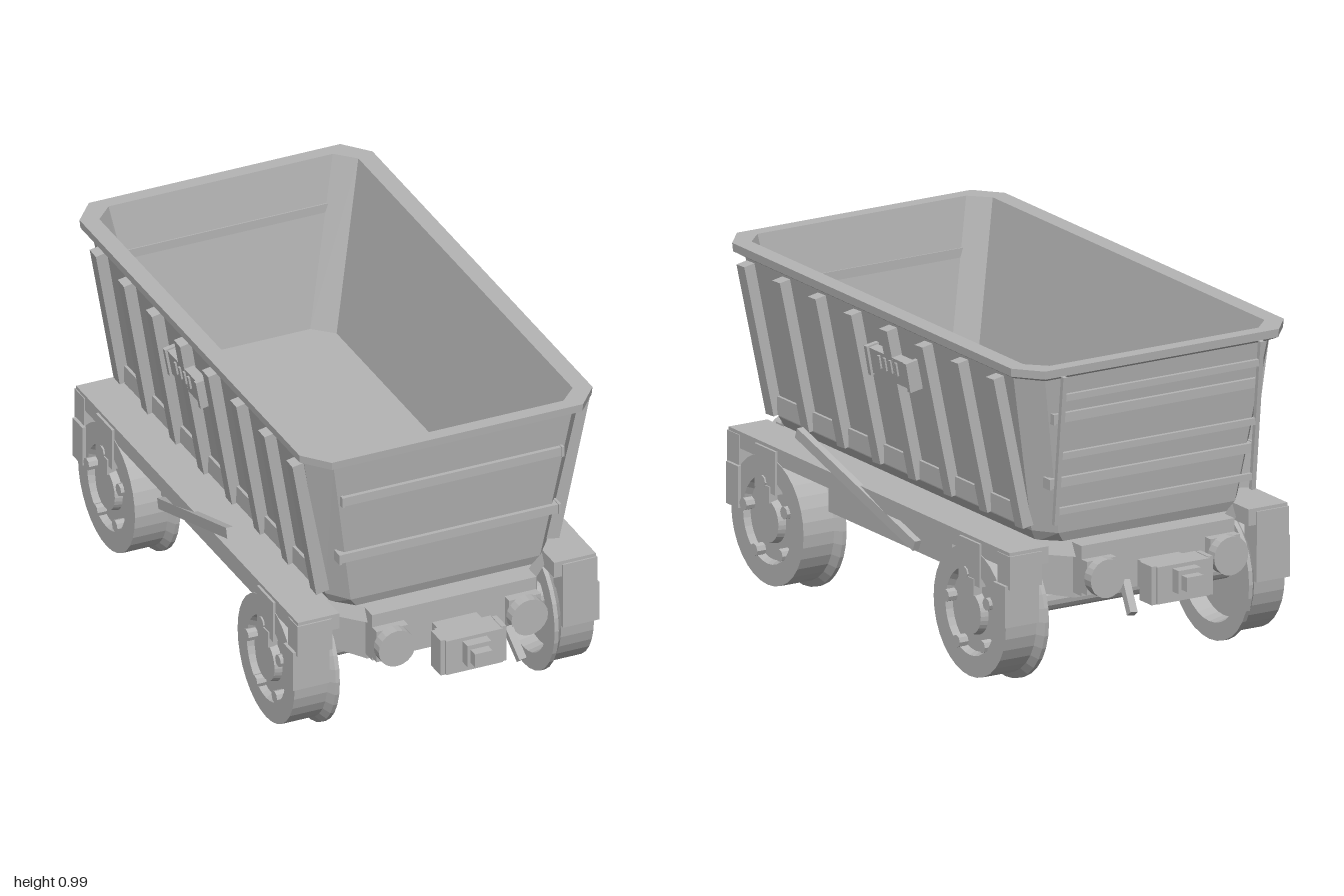
import * as THREE from 'three';

const steel = new THREE.MeshStandardMaterial({ color: 0xb4b4b4, flatShading: true });
steel.name = 'steel grey';

export function createModel() {
  const model = new THREE.Group();
  model.name = 'mineWagon';

  const add = (name, geometry, x = 0, y = 0, z = 0, parent = model) => {
    const mesh = new THREE.Mesh(geometry, steel);
    mesh.name = name;
    mesh.position.set(x, y, z);
    parent.add(mesh);
    return mesh;
  };
  // box given by its low and high limits
  const block = (name, x0, x1, y0, y1, z0, z1) =>
    add(name, new THREE.BoxGeometry(Math.abs(x1 - x0), y1 - y0, Math.abs(z1 - z0)),
      (x0 + x1) / 2, (y0 + y1) / 2, (z0 + z1) / 2);
  // bar between two points; "thick" is measured along the up hint
  const beam = (name, a, b, wide, thick, up) => {
    const p = new THREE.Vector3(...a), q = new THREE.Vector3(...b);
    const mesh = add(name, new THREE.BoxGeometry(wide, thick, p.distanceTo(q)));
    mesh.position.copy(p).add(q).multiplyScalar(0.5);
    mesh.up.set(...up);
    mesh.lookAt(q);
  };
  // chamfered rectangles [y, halfX, halfZ, chamferX, chamferZ] joined in order, with end caps
  const loft = (sections) => {
    const rings = sections.map(([y, hx, hz, cx, cz]) => [
      [cx - hx, y, hz], [hx - cx, y, hz], [hx, y, hz - cz], [hx, y, cz - hz],
      [hx - cx, y, -hz], [cx - hx, y, -hz], [-hx, y, cz - hz], [-hx, y, hz - cz]]);
    const pos = [];
    const tri = (a, b, c) => pos.push(...a, ...b, ...c);
    for (let r = 0; r + 1 < rings.length; r++) {
      for (let i = 0; i < 8; i++) {
        const j = (i + 1) % 8, lo = rings[r], hi = rings[r + 1];
        tri(lo[i], lo[j], hi[j]);
        tri(lo[i], hi[j], hi[i]);
      }
    }
    const first = rings[0], last = rings[rings.length - 1];
    for (let i = 1; i < 7; i++) {
      tri(first[0], first[i + 1], first[i]);
      tri(last[0], last[i], last[i + 1]);
    }
    const g = new THREE.BufferGeometry();
    g.setAttribute('position', new THREE.Float32BufferAttribute(pos, 3));
    g.computeVertexNormals();
    return g;
  };

  // open hopper: outside up to the rim, then down the inside to the floor
  add('hopper', loft([
    [0.43, 0.33, 0.725, 0.06, 0.06], [0.47, 0.35, 0.74, 0.05, 0.065],
    [0.95, 0.437, 0.79, 0.06, 0.075], [0.965, 0.462, 0.82, 0.066, 0.078],
    [0.99, 0.464, 0.822, 0.066, 0.078], [0.99, 0.41, 0.78, 0.055, 0.055],
    [0.47, 0.31, 0.713, 0.058, 0.055]]));

  // chassis
  add('chassisBody', loft([[0.275, 0.342, 0.76, 0.085, 0.13], [0.405, 0.342, 0.76, 0.085, 0.13]]));
  add('deck', loft([[0.4, 0.38, 0.77, 0.12, 0.13], [0.44, 0.37, 0.76, 0.12, 0.13]]));

  for (const s of [1, -1]) {
    const side = s > 0 ? 'left' : 'right';

    // side wall ribs, foot rail and plate
    for (let i = 0; i < 8; i++) {
      const z = 0.69 - i * 0.19;
      beam(side + 'Rib', [s * 0.362, 0.485, z - 0.022], [s * 0.448, 0.94, z], 0.042, 0.046, [s, 0, 0]);
    }
    block(side + 'FootRail', s * 0.34, s * 0.372, 0.485, 0.54, -0.68, 0.68);
    const plate = new THREE.Group();
    plate.name = side + 'Plate';
    plate.position.set(s * 0.433, 0.82, -0.07);
    plate.rotation.z = -s * 0.18;
    model.add(plate);
    add('plateBack', new THREE.BoxGeometry(0.03, 0.08, 0.22), 0, 0, 0, plate);
    for (const e of [1, -1]) add('plateEnd', new THREE.BoxGeometry(0.046, 0.09, 0.015), 0, 0, e * 0.105, plate);
    for (let i = 0; i < 4; i++) add('plateSlat', new THREE.BoxGeometry(0.042, 0.04, 0.01), 0, 0.01, -0.045 + i * 0.03, plate);

    // sill over the wheels and long brake lever
    block(side + 'Sill', s * 0.34, s * 0.472, 0.39, 0.44, -0.75, 0.75);
    block(side + 'SillWeb', s * 0.34, s * 0.4, 0.28, 0.395, -0.33, 0.33);
    beam(side + 'BrakeLever', [s * 0.45, 0.325, -0.22], [s * 0.494, 0.53, 0.34], 0.022, 0.032, [0, 1, 0]);

    for (const e of [1, -1]) {
      // axle guard and corner block
      block('axleGuard', s * 0.45, s * 0.48, 0.3, 0.43, e * 0.49, e * 0.6);
      block('axleGuardFoot', s * 0.45, s * 0.484, 0.27, 0.32, e * 0.515, e * 0.575);
      block('cornerBlock', s * 0.37, s * 0.485, 0.215, 0.34, e * 0.68, e * 0.745);
      block('cornerHanger', s * 0.365, s * 0.475, 0.33, 0.43, e * 0.69, e * 0.755);

      // flanged wheel, closed profile turned about the axle
      const wheel = new THREE.Group();
      wheel.name = side + 'Wheel';
      wheel.position.set(s * 0.34, 0.213, e * 0.54);
      wheel.rotation.y = s > 0 ? 0 : Math.PI;
      model.add(wheel);
      const profile = [[0, 0.05], [0.15, 0.05], [0.16, 0], [0.213, 0], [0.213, 0.013],
        [0.193, 0.03], [0.193, 0.134], [0.13, 0.134], [0.12, 0.115], [0.07, 0.115],
        [0.065, 0.138], [0, 0.138]].map(([r, h]) => new THREE.Vector2(r, h));
      add('wheelDisc', new THREE.LatheGeometry(profile, 32), 0, 0, 0, wheel).rotation.z = -Math.PI / 2;
      for (let i = 0; i < 5; i++) {
        const a = i * Math.PI * 0.4 - Math.PI / 2 + 0.5;
        add('wheelBolt', new THREE.CylinderGeometry(0.019, 0.019, 0.03, 8),
          0.13, 0.115 * Math.sin(a), 0.115 * Math.cos(a), wheel).rotation.z = Math.PI / 2;
      }
    }
  }

  for (const e of [1, -1]) {
    const end = e > 0 ? 'front' : 'back';
    add(end + 'Axle', new THREE.CylinderGeometry(0.04, 0.04, 0.78, 16), 0, 0.215, e * 0.54).rotation.z = Math.PI / 2;

    // end beam, bumper pads, coupler and release lever
    block(end + 'Beam', -0.26, 0.26, 0.29, 0.44, e * 0.7, e * 0.8);
    for (const s of [1, -1]) {
      add(end + 'BumperPad', new THREE.CylinderGeometry(0.058, 0.058, 0.035, 20), s * 0.21, 0.35, e * 0.845).rotation.x = Math.PI / 2;
      block(end + 'BumperBase', s * 0.16, s * 0.26, 0.3, 0.4, e * 0.79, e * 0.83);
      block(end + 'CouplerRidge', s * 0.088, s * 0.104, 0.27, 0.385, e * 0.865, e * 0.93);
    }
    block(end + 'CouplerShank', -0.07, 0.07, 0.29, 0.37, e * 0.78, e * 0.87);
    block(end + 'CouplerBody', -0.09, 0.09, 0.272, 0.383, e * 0.855, e * 0.938);
    block(end + 'CouplerNeck', -0.038, 0.038, 0.303, 0.372, e * 0.93, e * 0.97);
    block(end + 'CouplerTip', -0.028, 0.028, 0.315, 0.358, e * 0.965, e);
    beam(end + 'ReleaseLever', [0.145, 0.33, e * 0.85], [0.16, 0.25, e * 0.915], 0.024, 0.024, [1, 0, 0]);

    // horizontal stiffeners on the end walls
    for (const y of [0.63, 0.83]) {
      const z = 0.74 + (y - 0.47) * 0.104;
      block(end + 'WallBar', -0.35, 0.35, y - 0.014, y + 0.014, e * (z - 0.02), e * (z + 0.014));
      for (const s of [1, -1]) block(end + 'WallBarCap', s * 0.343, s * 0.351, y - 0.016, y + 0.016, e * (z - 0.02), e * (z + 0.018));
    }
  }

  // ladder frame standing off the back wall
  for (const s of [1, -1]) beam('ladderPost', [s * 0.335, 0.51, -0.778], [s * 0.335, 0.965, -0.826], 0.014, 0.014, [1, 0, 0]);
  for (const y of [0.55, 0.72, 0.9]) {
    const z = -0.778 - (y - 0.51) * 0.105;
    block('ladderRung', -0.335, 0.335, y - 0.01, y + 0.01, z - 0.006, z + 0.006);
  }
  return model;
}
